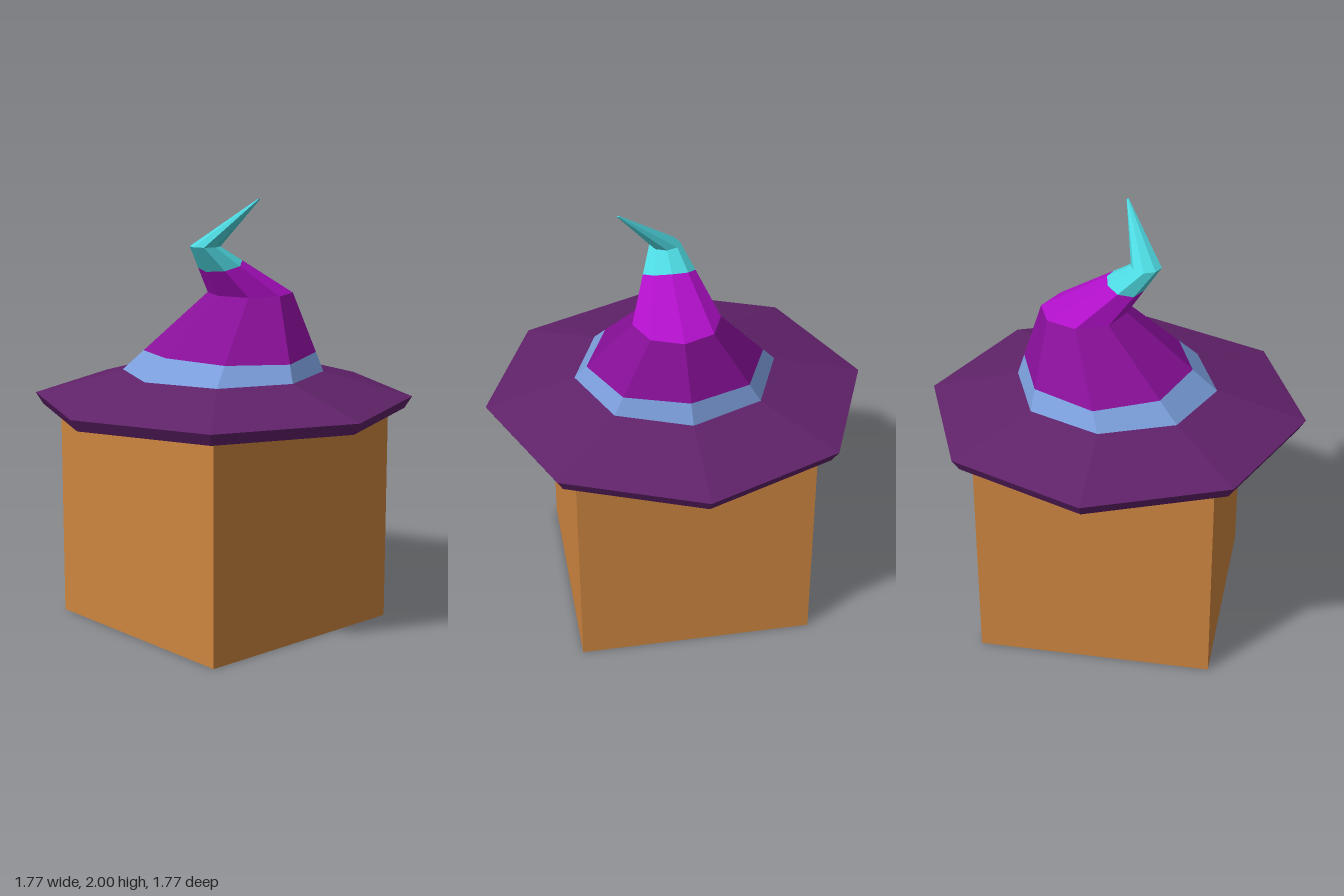
import * as THREE from 'three';

const SIDES = 8;

function material(name, color) {
  const m = new THREE.MeshStandardMaterial({ color, flatShading: true });
  m.name = name;
  return m;
}

// Octagonal ring with one corner facing the front
function ring(r, y, cx = 0, cz = 0) {
  return Array.from({ length: SIDES }, (_, i) => {
    const a = (i / SIDES) * Math.PI * 2;
    return new THREE.Vector3(cx + r * Math.sin(a), y, cz + r * Math.cos(a));
  });
}

// Ring part-way between two others; the fraction may vary with the angle
function between(lower, upper, fraction) {
  return lower.map((p, i) => p.clone().lerp(upper[i], fraction((i / SIDES) * Math.PI * 2)));
}

// Faceted skin through a sequence of rings
function skin(name, mat, rings, capTop = false) {
  const pos = [];
  const tri = (...pts) => pts.forEach((p) => pos.push(p.x, p.y, p.z));
  for (let k = 0; k < rings.length - 1; k++) {
    const lo = rings[k], hi = rings[k + 1];
    for (let i = 0; i < SIDES; i++) {
      const j = (i + 1) % SIDES;
      tri(lo[i], lo[j], hi[j]);
      tri(lo[i], hi[j], hi[i]);
    }
  }
  if (capTop) {
    const top = rings[rings.length - 1];
    for (let i = 1; i < SIDES - 1; i++) tri(top[0], top[i], top[i + 1]);
  }
  const geo = new THREE.BufferGeometry();
  geo.setAttribute('position', new THREE.Float32BufferAttribute(pos, 3));
  geo.computeVertexNormals();
  const mesh = new THREE.Mesh(geo, mat);
  mesh.name = name;
  return mesh;
}

export function createModel() {
  const group = new THREE.Group();
  group.name = 'boxWithHat';

  const tan = material('tan', 0xcd853f);
  const plum = material('plum', 0x602269);
  const blue = material('blue', 0x7b9edc);
  const purple = material('purple', 0x880f98);
  const violet = material('violet', 0xb010c8);
  const teal = material('teal', 0x4dd8e0);

  // Box, its top tucked up into the hollow brim
  const box = new THREE.Mesh(new THREE.BoxGeometry(1.09, 1.09, 1.09), tan);
  box.name = 'box';
  box.position.set(-0.005, 0.545, -0.01);
  group.add(box);

  // Main rings of the crooked hat
  const base = ring(0.47, 1.19);
  const bend = ring(0.2, 1.545, 0.02, -0.155);
  const elbow = ring(0.07, 1.78, 0.025, 0.13);
  const tip = ring(0.006, 2.0, 0.25, 0.006);

  // Uneven colour borders
  const bandTop = between(base, bend, (a) => 0.245 + 0.03 * Math.cos(2 * a));
  const tealStart = between(bend, elbow, (a) => 0.62 - 0.12 * Math.cos(a));

  const hat = new THREE.Group();
  hat.name = 'hat';
  hat.add(
    skin('brim', plum, [ring(0.001, 1.14), ring(0.45, 1.13), ring(0.85, 1.02), ring(0.885, 1.075), base]),
    skin('hatBand', blue, [base, bandTop]),
    skin('lowerCone', purple, [bandTop, bend]),
    skin('upperCone', violet, [bend, tealStart]),
    skin('hatTip', teal, [tealStart, elbow, tip], true),
  );
  group.add(hat);
  return group;
}
